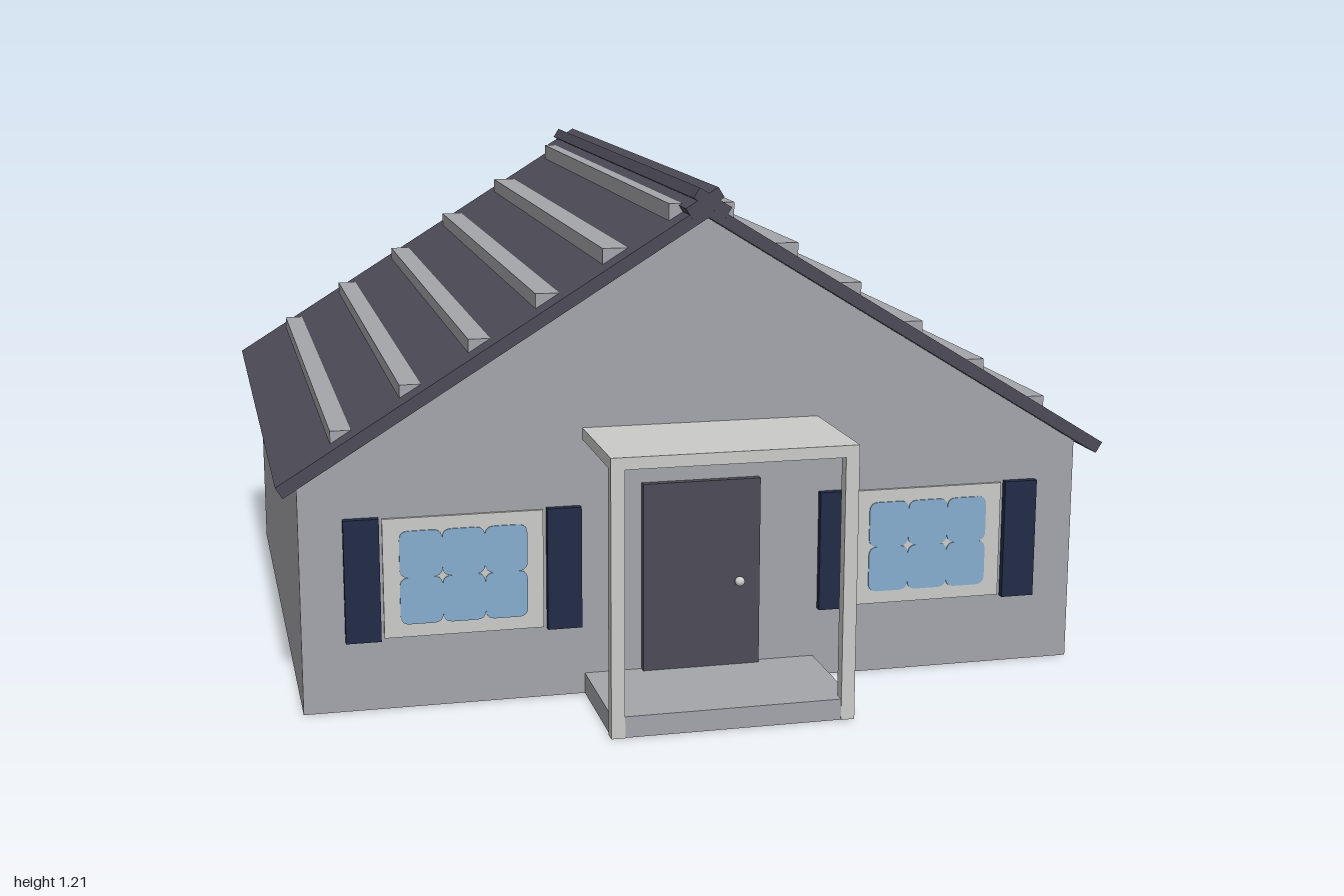
import * as THREE from 'three';

const mat = (name, color) => {
  const m = new THREE.MeshStandardMaterial({ color });
  m.name = name;
  return m;
};

export function createModel() {
  const wall = mat('wallGrey', 0xa5a6ab);
  const roof = mat('slateGrey', 0x4d4c58);
  const trim = mat('lightTrim', 0xcbcbc9);
  const glass = mat('glassBlue', 0x86aed0);
  const navy = mat('shutterNavy', 0x222c48);

  const model = new THREE.Group();
  model.name = 'house';

  const add = (name, geometry, material, parent = model) => {
    const mesh = new THREE.Mesh(geometry, material);
    mesh.name = name;
    parent.add(mesh);
    return mesh;
  };
  // Box given by its extents on each axis
  const box = (name, material, [x0, x1], [y0, y1], [z0, z1], parent) => {
    const mesh = add(name, new THREE.BoxGeometry(x1 - x0, y1 - y0, z1 - z0), material, parent);
    mesh.position.set((x0 + x1) / 2, (y0 + y1) / 2, (z0 + z1) / 2);
    return mesh;
  };
  // Front-facing polygon extruded from z0 to z1
  const prism = (name, material, points, z0, z1) => {
    const shape = new THREE.Shape(points.map(([x, y]) => new THREE.Vector2(x, y)));
    const geometry = new THREE.ExtrudeGeometry(shape, { depth: z1 - z0, bevelEnabled: false });
    return add(name, geometry.translate(0, 0, z0), material);
  };

  // Walls and gable
  box('walls', wall, [-0.95, 0.95], [0, 0.57], [-0.91, 0.67]);
  prism('gable', wall, [[-0.925, 0.57], [0.925, 0.57], [0, 1.145]], -0.91, 0.67);

  // Stepped attic layers whose corners show through the roof as battens
  [0.87, 0.71, 0.55, 0.393, 0.235, 0.078].forEach((half, i) => {
    const y = 0.57 + i * 0.0995;
    box('atticStep', wall, [-half, half], [y, y + 0.0995], [-0.907, 0.66]);
  });

  // Roof slopes and crossing ridge boards
  const zBack = -0.98, zFront = 0.725;
  const pitch = Math.atan(0.615);
  for (const s of [-1, 1]) {
    prism('roofSlope', roof,
      [[s, 0.56], [0, 1.175], [0, 1.14], [s * 0.984, 0.534]], zBack, zFront);
    const board = add('ridgeBoard',
      new THREE.BoxGeometry(0.09, 0.028, zFront - zBack + 0.002), roof);
    board.position.set(s * 0.009, 1.174, (zBack + zFront) / 2);
    board.rotation.z = -s * pitch;
  }

  // Porch: floor, flat canopy and two front posts
  const porch = new THREE.Group();
  porch.name = 'porch';
  model.add(porch);
  box('porchFloor', wall, [-0.284, 0.284], [0, 0.05], [0.67, 0.978], porch);
  box('porchCanopy', trim, [-0.287, 0.287], [0.622, 0.65], [0.67, 0.98], porch);
  for (const s of [-1, 1]) {
    const post = box('porchPost', trim, [0.255, 0.287], [0, 0.622], [0.95, 0.98], porch);
    post.position.x *= s;
  }

  // Door and knob
  box('door', roof, [-0.145, 0.142], [0.05, 0.51], [0.67, 0.688]);
  const knob = add('doorKnob', new THREE.SphereGeometry(0.012, 16, 12), trim);
  knob.position.set(0.09, 0.26, 0.698);

  // Rounded window pane
  const w = 0.05, h = 0.056, r = 0.022;
  const pane = new THREE.Shape();
  pane.moveTo(-w + r, -h);
  pane.lineTo(w - r, -h);
  pane.quadraticCurveTo(w, -h, w, -h + r);
  pane.lineTo(w, h - r);
  pane.quadraticCurveTo(w, h, w - r, h);
  pane.lineTo(-w + r, h);
  pane.quadraticCurveTo(-w, h, -w, h - r);
  pane.lineTo(-w, -h + r);
  pane.quadraticCurveTo(-w, -h, -w + r, -h);
  const paneGeometry = new THREE.ExtrudeGeometry(pane,
    { depth: 0.003, bevelEnabled: false, curveSegments: 5 });

  // Windows with panes and shutters
  for (const s of [-1, 1]) {
    const win = new THREE.Group();
    win.name = s > 0 ? 'leftWindow' : 'rightWindow';
    win.position.set(s * 0.571, 0.317, 0.67);
    model.add(win);
    box('windowFrame', trim, [-0.188, 0.188], [-0.143, 0.143], [0, 0.007], win);
    for (const i of [-1, 0, 1]) {
      for (const j of [-1, 1]) {
        add('windowPane', paneGeometry, glass, win).position.set(i * 0.1, j * h, 0.007);
      }
    }
    for (const t of [-1, 1]) {
      const shutter = box('shutter', navy, [0.196, 0.278], [-0.147, 0.147], [0, 0.018], win);
      shutter.position.x *= t;
    }
  }

  return model;
}
